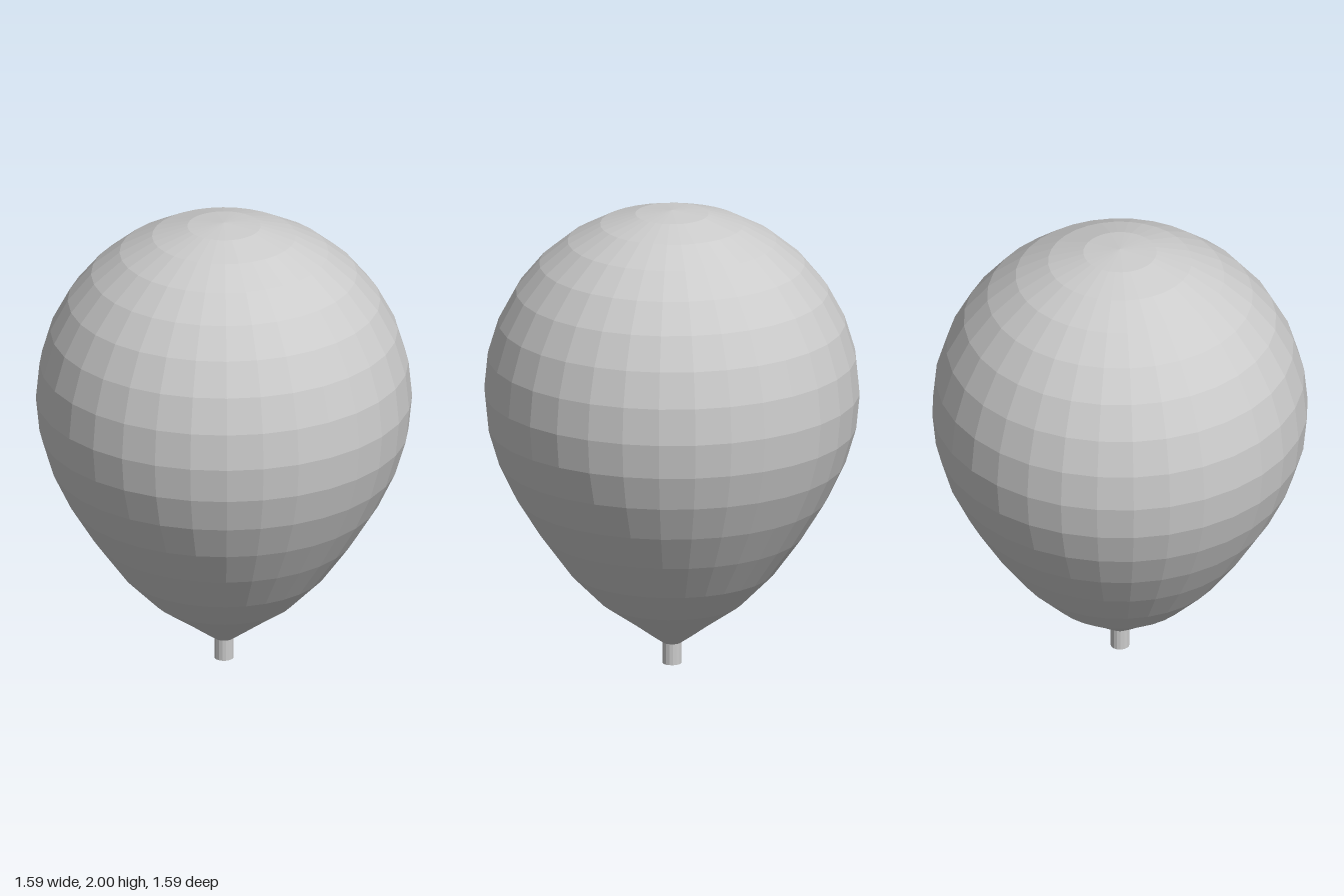
import * as THREE from 'three';

const SIDES = 32;
const RADIUS = 0.795;
const CENTER_Y = 1.2;

export function createModel() {
  const model = new THREE.Group();
  model.name = 'balloon';
  const material = new THREE.MeshStandardMaterial({ color: 0xcccccc, flatShading: true });

  // Envelope profile, bottom to top: tapered lower half, then a round dome
  const profile = [
    [0.036, 0.09], [0.1, 0.135], [0.165, 0.183], [0.304, 0.28], [0.442, 0.42],
    [0.562, 0.585], [0.661, 0.745], [0.735, 0.9], [0.78, 1.05],
  ].map(([r, y]) => new THREE.Vector2(r, y));
  for (let k = 8; k >= 0; k--) {
    const a = (k * Math.PI) / 16;
    profile.push(new THREE.Vector2(RADIUS * Math.sin(a), CENTER_Y + 0.8 * Math.cos(a)));
  }
  const envelope = new THREE.Mesh(new THREE.LatheGeometry(profile, SIDES), material);
  envelope.name = 'envelope';
  model.add(envelope);

  // Short neck below the envelope
  const neck = new THREE.Mesh(new THREE.CylinderGeometry(0.04, 0.04, 0.095, 16), material);
  neck.name = 'neck';
  neck.position.y = 0.0475;
  model.add(neck);

  return model;
}
